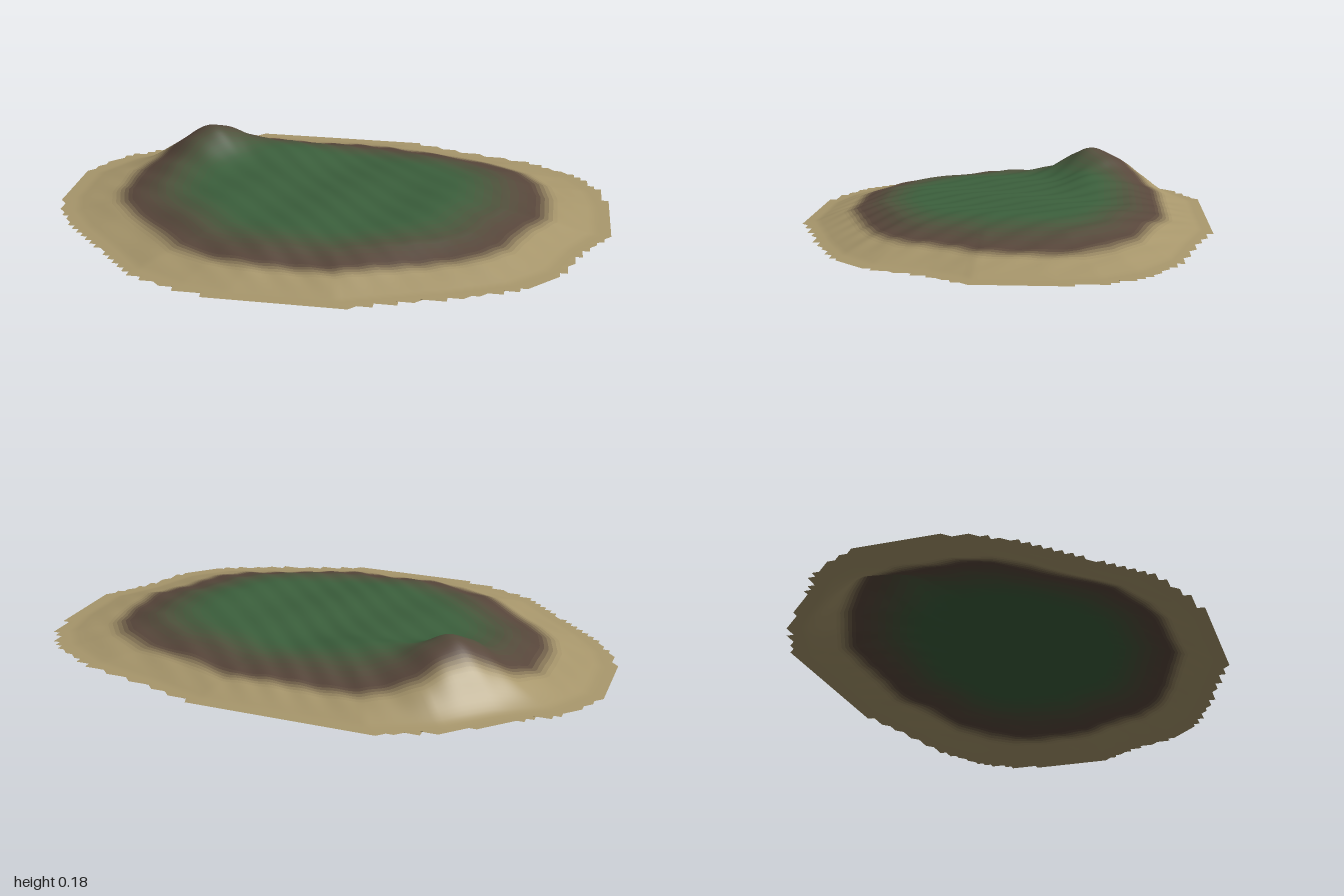
import * as THREE from 'three';

const SEGMENTS = 320, RINGS = 64;

// Shoreline corners (x, z), counter-clockwise seen from above
const SHORE = [
  [1, -0.2], [0.97, -0.35], [0.88, -0.47], [0.7, -0.58], [0.46, -0.64], [0.22, -0.715],
  [-0.38, -0.715], [-0.6, -0.62], [-0.75, -0.48], [-0.9, -0.37], [-0.97, -0.25], [-1, -0.2],
  [-1, 0.05], [-0.96, 0.18], [-0.86, 0.31], [-0.7, 0.47], [-0.58, 0.6], [-0.4, 0.68],
  [-0.23, 0.715], [0.14, 0.715], [0.3, 0.66], [0.5, 0.59], [0.7, 0.5], [0.83, 0.38],
  [0.9, 0.2], [0.98, 0.07], [1, 0.05],
];

// Height from centre (0) to shore (1)
const PROFILE = [[0, 0.086], [0.45, 0.08], [0.62, 0.071], [0.8, 0.034], [0.94, 0.003], [1, 0]];

function baseHeight(t) {
  for (let i = 1; i < PROFILE.length; i++) {
    const [t0, h0] = PROFILE[i - 1], [t1, h1] = PROFILE[i];
    if (t <= t1) return THREE.MathUtils.lerp(h0, h1, (t - t0) / (t1 - t0));
  }
  return 0;
}

// Smooth mound with its own width towards each side
function mound(x, z, cx, cz, left, right, back, front) {
  const dx = (x - cx) / (x < cx ? left : right);
  const dz = (z - cz) / (z < cz ? back : front);
  return Math.exp(-dx * dx - dz * dz);
}

function height(x, z, t) {
  const inland = 1 - THREE.MathUtils.smoothstep(t, 0.72, 0.97);
  const ripple = 0.0022 * Math.sin((x - z) * 46 + 2 * Math.sin(x * 5)) + 0.003 * Math.sin(x * 17 + z * 9);
  return baseHeight(t)
    + inland * ripple
    + (1 - THREE.MathUtils.smoothstep(t, 0.8, 0.98)) * (
      0.118 * mound(x, z, -0.53, -0.32, 0.17, 0.15, 0.2, 0.15)     // peak
      + 0.036 * mound(x, z, -0.26, -0.3, 0.14, 0.17, 0.16, 0.1)    // shoulder ridge
      + 0.014 * mound(x, z, 0.4, -0.1, 0.14, 0.18, 0.3, 0.3));     // low eastern rise
}

// Sand at the shore, a brown earth belt, then green inland
function groundColor(t) {
  const sand = new THREE.Color(0xa8976c), earth = new THREE.Color(0x58463b), green = new THREE.Color(0x3b5f3c);
  const color = green.lerp(earth, THREE.MathUtils.smoothstep(t, 0.42, 0.74));
  return color.lerp(sand, THREE.MathUtils.smoothstep(t, 0.73, 0.82));
}

// Whole terrain surface; the bands below share its vertices and normals
function terrain() {
  const path = new THREE.CurvePath();
  SHORE.forEach(([x, z], i) => {
    const [nx, nz] = SHORE[(i + 1) % SHORE.length];
    path.add(new THREE.LineCurve(new THREE.Vector2(x, z), new THREE.Vector2(nx, nz)));
  });
  const shore = path.getSpacedPoints(SEGMENTS);
  const snap = (v, step) => Math.round(v / step) * step;

  const positions = [];
  for (let r = 0; r <= RINGS; r++) {
    const t = r / RINGS;
    for (let s = 0; s < SEGMENTS; s++) {
      let x = shore[s].x * t, z = shore[s].y * t;
      const y = height(x, z, t);
      if (r === RINGS) { // stepped outer edge
        x = snap(x, 0.025);
        z = snap(z, 0.715 / 28);
      }
      positions.push(x, Math.max(0, y), z);
    }
  }
  const geometry = new THREE.BufferGeometry();
  geometry.setAttribute('position', new THREE.Float32BufferAttribute(positions, 3));
  geometry.setIndex(ringIndex(0, RINGS));
  geometry.computeVertexNormals();
  return geometry;
}

// Triangles between two rings
function ringIndex(from, to) {
  const index = [];
  for (let r = from; r < to; r++) {
    for (let s = 0; s < SEGMENTS; s++) {
      const n = (s + 1) % SEGMENTS;
      const a = r * SEGMENTS + s, b = r * SEGMENTS + n;
      const c = a + SEGMENTS, d = b + SEGMENTS;
      if (r > 0) index.push(a, d, b);
      index.push(a, c, d);
    }
  }
  return index;
}

export function createModel() {
  const island = new THREE.Group();
  island.name = 'island';
  const surface = terrain();

  // Ring numbers where the ground colour changes
  const edges = [0, 27];
  for (let r = 29; r <= 45; r += 2) edges.push(r);
  for (let r = 46; r <= 53; r++) edges.push(r);
  edges.push(RINGS);

  for (let i = 1; i < edges.length; i++) {
    const from = edges[i - 1], to = edges[i];
    const t = (from + to) / 2 / RINGS;
    const geometry = new THREE.BufferGeometry();
    geometry.setAttribute('position', surface.attributes.position);
    geometry.setAttribute('normal', surface.attributes.normal);
    geometry.setIndex(ringIndex(from, to));
    const band = new THREE.Mesh(geometry, new THREE.MeshStandardMaterial({
      color: groundColor(t), side: THREE.DoubleSide,
    }));
    band.name = t > 0.78 ? 'beach' : t > 0.62 ? 'earthBelt' : 'grassland';
    island.add(band);
  }
  return island;
}
